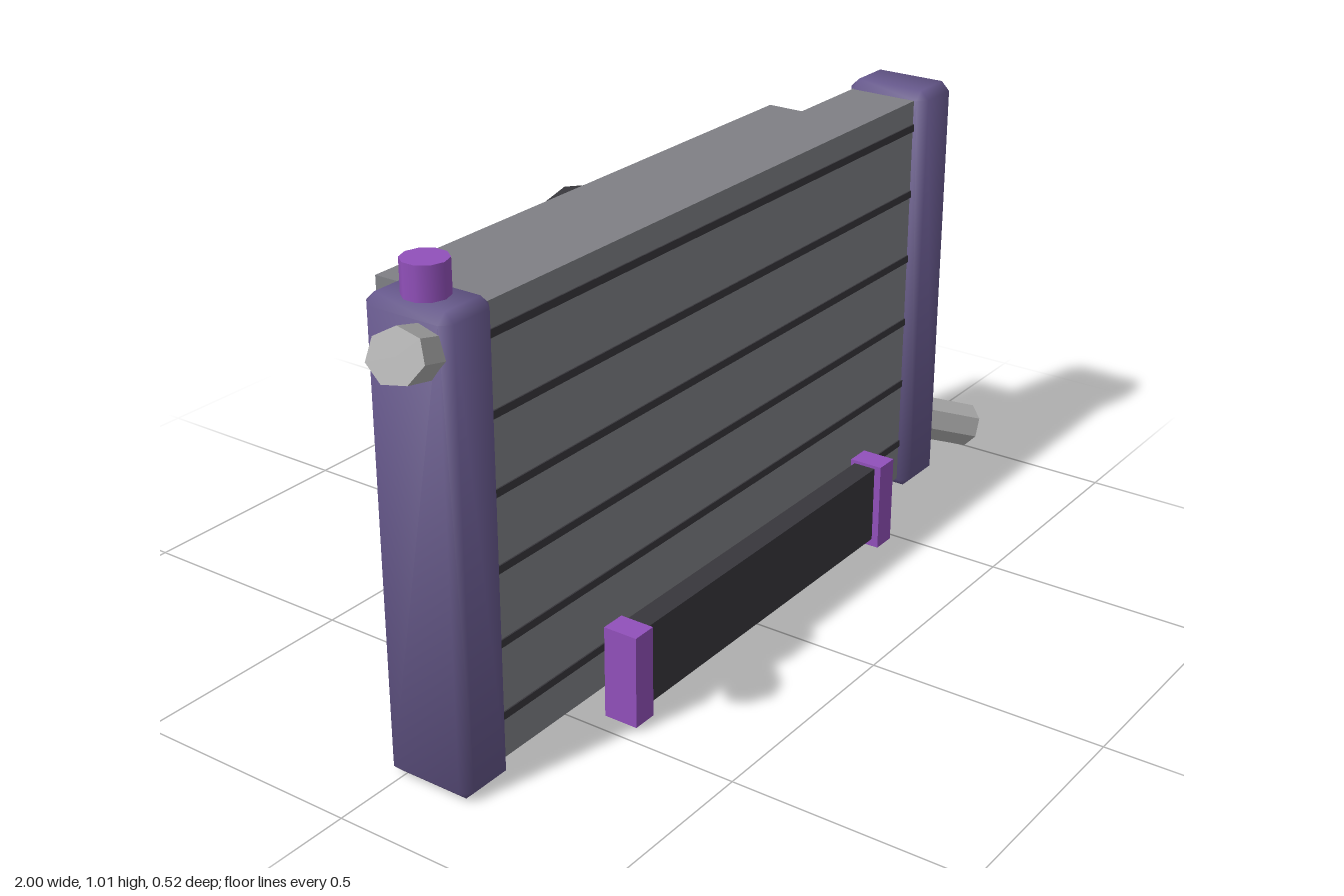
import * as THREE from 'three';
import { ConvexGeometry } from 'three/addons/geometries/ConvexGeometry.js';

const material = (name, color) => {
  const m = new THREE.MeshStandardMaterial({ color });
  m.name = name;
  return m;
};

// Chamfered box with soft normals: each face corner leans towards its neighbours.
function chamferBox(w, h, d, c) {
  const half = [w / 2, h / 2, d / 2];
  const points = [];
  for (const sx of [-1, 1]) for (const sy of [-1, 1]) for (const sz of [-1, 1]) {
    for (let main = 0; main < 3; main++) {
      const p = [sx, sy, sz].map((s, i) => s * (half[i] - (i === main ? 0 : c)));
      points.push(new THREE.Vector3(...p));
    }
  }
  const geo = new ConvexGeometry(points);
  const pos = geo.attributes.position;
  const n = new THREE.Vector3();
  for (let i = 0; i < pos.count; i++) {
    const v = [pos.getX(i), pos.getY(i), pos.getZ(i)];
    n.set(...v.map((a, k) => Math.sign(a) * (half[k] - Math.abs(a) < c / 2 ? 4.2 : 1.67))).normalize();
    geo.attributes.normal.setXYZ(i, n.x, n.y, n.z);
  }
  return geo;
}

export function createModel() {
  const group = new THREE.Group();
  group.name = 'radiator';

  const tankViolet = material('tankViolet', 0x66588c);
  const purple = material('brightPurple', 0x9150ba);
  const coreGrey = material('coreGrey', 0x7f8085);
  const dark = material('darkGrey', 0x38373c);
  const metal = material('lightMetal', 0xb0b0b0);

  const add = (name, geo, mat, x, y, z) => {
    const mesh = new THREE.Mesh(geo, mat);
    mesh.name = name;
    mesh.position.set(x, y, z);
    group.add(mesh);
    return mesh;
  };
  // Box given by its lower and upper limits
  const box = (name, mat, [x0, x1], [y0, y1], [z0, z1]) =>
    add(name, new THREE.BoxGeometry(x1 - x0, y1 - y0, z1 - z0), mat,
      (x0 + x1) / 2, (y0 + y1) / 2, (z0 + z1) / 2);

  // Core with thin dark seams across the front
  box('core', coreGrey, [-0.73, 0.73], [0.025, 0.93], [-0.02, 0.135]);
  for (let i = 0; i < 6; i++) {
    const y = 0.115 + i * 0.151;
    box('coreSeam', dark, [-0.72, 0.72], [y - 0.008, y + 0.008], [0.131, 0.138]);
  }

  // Side tanks
  for (const side of [-1, 1]) {
    add(side > 0 ? 'leftTank' : 'rightTank', chamferBox(0.128, 0.947, 0.194, 0.019),
      tankViolet, side * 0.777 - 0.002, 0.476, 0.063);
  }

  // Filler cap
  add('fillerCap', new THREE.CylinderGeometry(0.044, 0.044, 0.085, 10), purple, -0.781, 0.973, 0.063);

  // Hose pipes: seven-sided, angled out of the tanks
  const pipe = (name, start, end) => {
    const dir = end.clone().sub(start);
    const length = dir.length();
    dir.normalize();
    const up = new THREE.Vector3(0, 1, 0).addScaledVector(dir, -dir.y).normalize();
    const across = new THREE.Vector3().crossVectors(dir, up);
    const geo = new THREE.CylinderGeometry(0.05, 0.05, length, 7).toNonIndexed();
    geo.computeVertexNormals();
    const mid = start.clone().add(end).multiplyScalar(0.5);
    const mesh = add(name, geo, metal, mid.x, mid.y, mid.z);
    mesh.quaternion.setFromRotationMatrix(new THREE.Matrix4().makeBasis(across, dir, up));
  };
  pipe('lowerPipe', new THREE.Vector3(0.78, 0.154, 0.065), new THREE.Vector3(0.975, 0.071, 0.168));
  pipe('upperPipe', new THREE.Vector3(-0.78, 0.846, 0.065), new THREE.Vector3(-0.975, 0.929, 0.168));

  // Fan shroud and round fan housing behind the core
  box('fanShroud', coreGrey, [-0.642, 0.637], [0.068, 0.883], [-0.185, -0.078]);
  const fan = add('fanHousing', new THREE.CylinderGeometry(0.379, 0.379, 0.08, 14), dark, -0.002, 0.476, -0.221);
  fan.rotation.x = -Math.PI / 2;

  // Small cooler in front with end caps
  box('frontCooler', dark, [-0.43, 0.425], [0.03, 0.2], [0.197, 0.247]);
  for (const side of [-1, 1]) {
    add('coolerEndCap', new THREE.BoxGeometry(0.054, 0.194, 0.074), purple, side * 0.442 - 0.003, 0.11, 0.225);
  }

  return group;
}
